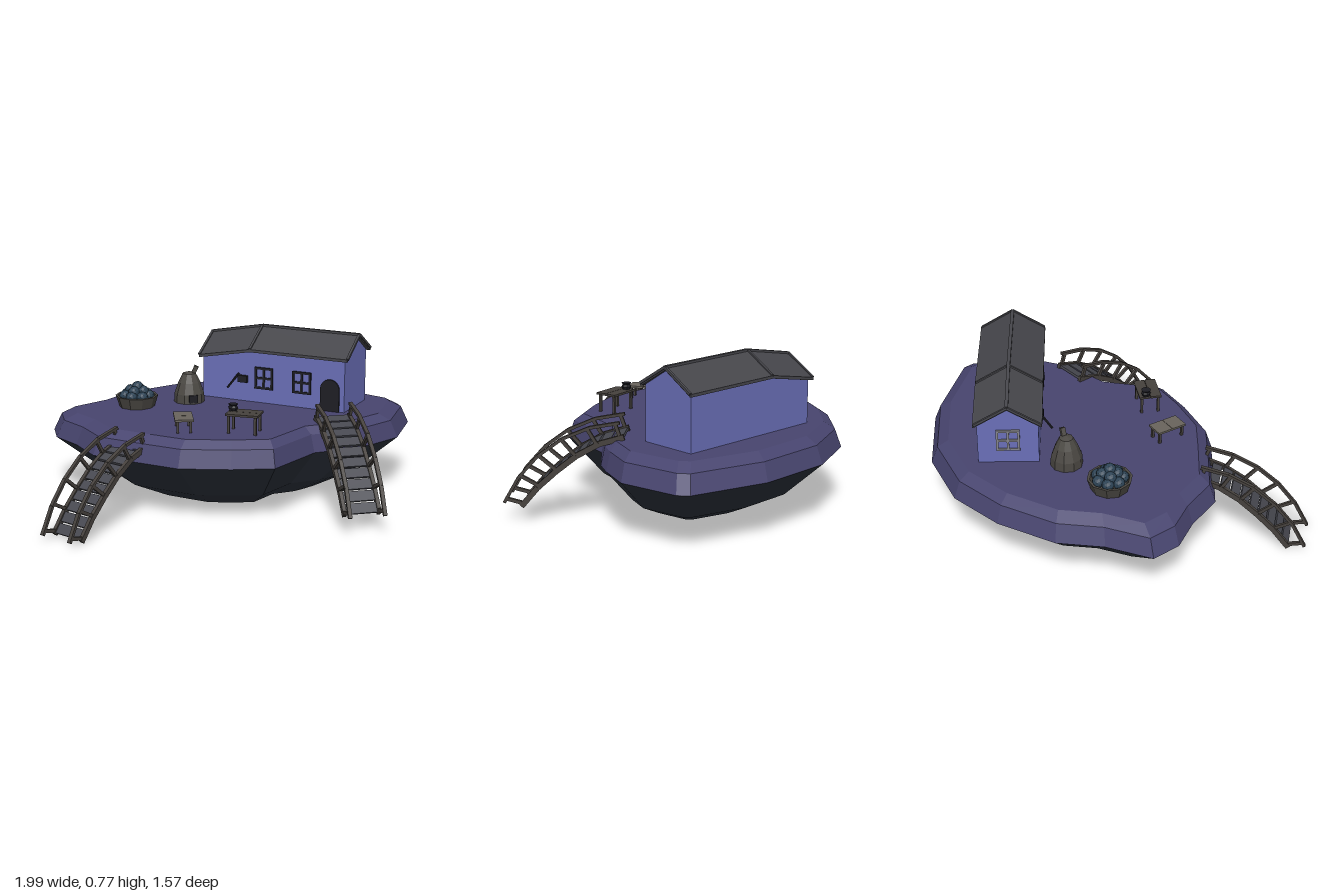
import * as THREE from 'three';

const mat = (color) => new THREE.MeshStandardMaterial({ color, flatShading: true });
const M = {
  soil: mat(0x48456f), rock: mat(0x2c323c), wall: mat(0x6a6fb8), roof: mat(0x46464b),
  wood: mat(0x46413d), tread: mat(0x474850), plank: mat(0x69645c), dark: mat(0x1e1e24),
  frame: mat(0x85858c), clay: mat(0x4b4843), ball: mat(0x2d4355),
};
const V = (x, y, z) => new THREE.Vector3(x, y, z);

function mesh(name, geo, material, parent, x = 0, y = 0, z = 0) {
  const m = new THREE.Mesh(geo, material);
  m.name = name;
  m.position.set(x, y, z);
  parent.add(m);
  return m;
}

function group(name, parent, x = 0, y = 0, z = 0, turn = 0) {
  const g = new THREE.Group();
  g.name = name;
  g.position.set(x, y, z);
  g.rotation.y = turn;
  parent.add(g);
  return g;
}

const box = (name, w, h, d, material, parent, x, y, z) =>
  mesh(name, new THREE.BoxGeometry(w, h, d), material, parent, x, y, z);

// Straight bar between two points
function beam(name, a, b, w, h, material, parent) {
  const m = new THREE.Mesh(new THREE.BoxGeometry(w, h, a.distanceTo(b)), material);
  m.name = name;
  m.position.lerpVectors(a, b, 0.5);
  m.lookAt(b);
  parent.add(m);
  return m;
}

// Skin over rings of points, clockwise as seen from the last ring, optionally capped
function loft(rings, capStart = true, capEnd = true) {
  const p = [];
  const tri = (...vs) => vs.forEach((v) => p.push(v.x, v.y, v.z));
  const n = rings[0].length;
  const mid = (r) => r.reduce((s, v) => s.add(v), V(0, 0, 0)).divideScalar(n);
  const first = rings[0], last = rings[rings.length - 1];
  for (let i = 0; i < n; i++) {
    const j = (i + 1) % n;
    for (let k = 0; k + 1 < rings.length; k++) {
      const L = rings[k], U = rings[k + 1];
      tri(L[i], U[i], L[j]);
      tri(L[j], U[i], U[j]);
    }
    if (capStart) tri(mid(first), first[i], first[j]);
    if (capEnd) tri(mid(last), last[j], last[i]);
  }
  const g = new THREE.BufferGeometry();
  g.setAttribute('position', new THREE.Float32BufferAttribute(p, 3));
  g.computeVertexNormals();
  return g;
}

function addIsland(root) {
  const outline = [[-0.75, -0.465], [-0.54, -0.555], [-0.36, -0.69], [-0.07, -0.775], [0.215, -0.785],
    [0.515, -0.67], [0.795, -0.41], [0.99, -0.075], [0.985, -0.015], [0.81, 0.225], [0.64, 0.3],
    [0.54, 0.33], [0.325, 0.34], [0.06, 0.515], [-0.135, 0.465], [-0.36, 0.375], [-0.505, 0.225],
    [-0.675, 0.04], [-0.71, -0.16], [-0.77, -0.32]];
  const ring = (y, s) => outline.map(([x, z]) => V(0.08 + (x - 0.08) * s, y, -0.09 + (z + 0.09) * s));
  const island = group('island', root);
  mesh('islandTop', loft([ring(0.29, 1), ring(0.375, 0.955), ring(0.41, 0.88)], false, true), M.soil, island);
  mesh('islandUnderside', loft([ring(0.03, 0.49), ring(0.11, 0.72), ring(0.29, 1)], true, false), M.rock, island);
}

// Four-pane window facing local +z
function addWindow(parent, x, y, z, turn, w, h, barMat, paneMat) {
  const g = group('window', parent, x, y, z, turn);
  box('pane', w, h, 0.006, paneMat, g, 0, 0, 0);
  for (const s of [-1, 0, 1]) {
    box('windowUpright', 0.011, h + 0.011, 0.014, barMat, g, s * w / 2, 0, 0.002);
    box('windowCrossbar', w + 0.011, 0.011, 0.014, barMat, g, 0, s * h / 2, 0.002);
  }
}

function addHouse(root) {
  const house = group('house', root, 0.395, 0.405, -0.2475, Math.PI / 4);
  // Walls: the ridge and eaves drop towards the rear gable
  const w = 0.143;
  const section = (z, eave, ridge) =>
    [V(-w, 0, z), V(-w, eave, z), V(0, ridge, z), V(w, eave, z), V(w, 0, z)];
  mesh('walls', loft([section(-0.385, 0.215, 0.305), section(-0.12, 0.267, 0.357),
    section(0.385, 0.267, 0.357)]), M.wall, house);

  // Roof slabs with boards along every edge and across the bend
  const stations = [[-0.402, 0.222, 0.316], [-0.12, 0.275, 0.37], [0.402, 0.275, 0.37]];
  const e = 0.156, t = 0.014;
  for (const s of [-1, 1]) {
    const rings = stations.map(([z, eave, ridge]) => {
      const r = [V(0, ridge, z), V(s * e, eave, z), V(s * e, eave - t, z), V(0, ridge - t, z)];
      return s > 0 ? r : r.reverse();
    });
    mesh('roofSlab', loft(rings), M.roof, house);
    stations.forEach(([z, eave, ridge]) =>
      beam('roofBoard', V(0, ridge, z), V(s * e, eave, z), 0.012, 0.012, M.roof, house));
    for (let k = 0; k < 2; k++) {
      const [z0, e0] = stations[k], [z1, e1] = stations[k + 1];
      beam('eaveBoard', V(s * e, e0 - 0.006, z0), V(s * e, e1 - 0.006, z1), 0.01, 0.014, M.roof, house);
    }
  }
  for (let k = 0; k < 2; k++) {
    const [z0, , r0] = stations[k], [z1, , r1] = stations[k + 1];
    beam('ridgeBoard', V(0, r0, z0), V(0, r1, z1), 0.016, 0.012, M.roof, house);
  }

  // Windows
  for (const z of [-0.046, 0.16]) addWindow(house, -w, 0.132, z, -Math.PI / 2, 0.088, 0.1, M.dark, M.wall);
  addWindow(house, 0, 0.13, -0.386, Math.PI, 0.1, 0.1, M.frame, M.wall);

  // Arched door
  const arch = new THREE.Shape();
  arch.moveTo(-0.05, 0);
  arch.lineTo(0.05, 0);
  arch.lineTo(0.05, 0.115);
  arch.absarc(0, 0.115, 0.05, 0, Math.PI, false);
  const door = new THREE.ExtrudeGeometry(arch, { depth: 0.008, bevelEnabled: false, curveSegments: 6 });
  mesh('door', door, M.dark, house, -w, 0, 0.31).rotation.y = -Math.PI / 2;

  // Wall lantern on a slanted bracket
  box('lantern', 0.02, 0.035, 0.05, M.dark, house, -w - 0.008, 0.12, -0.16);
  beam('lanternBracket', V(-w, 0.145, -0.185), V(-w - 0.06, 0.08, -0.22), 0.008, 0.008, M.dark, house);
}

// Curved stair descending along local +z
function addStair(root, x, y, z, turn, stretch) {
  const stair = group('stair', root, x, y, z, turn);
  stair.scale.z = stretch;
  const curve = (pts) => new THREE.CatmullRomCurve3(pts.map(([d, h]) => V(0, h, d)));
  const low = curve([[-0.03, 0.425], [0.12, 0.375], [0.24, 0.29], [0.36, 0.185], [0.445, 0.085]]);
  const high = curve([[-0.01, 0.49], [0.17, 0.45], [0.33, 0.355], [0.45, 0.23], [0.525, 0.1]]);
  const at = (c, u, side) => c.getPointAt(u).setX(side * 0.083);
  const n = 5;
  for (const s of [-1, 1]) {
    for (let i = 0; i < n; i++) {
      beam('stringer', at(low, i / n, s), at(low, (i + 1) / n, s), 0.018, 0.026, M.wood, stair);
      beam('handrail', at(high, i / n, s), at(high, (i + 1) / n, s), 0.018, 0.014, M.wood, stair);
    }
    for (let i = 0; i <= n; i++) {
      const u = 0.03 + 0.94 * i / n;
      beam('railPost', at(low, u, s), at(high, u, s), 0.014, 0.016, M.wood, stair);
    }
  }
  const treads = 10;
  for (let i = 0; i < treads; i++) {
    const a = low.getPointAt((i + 0.06) / treads), b = low.getPointAt((i + 0.9) / treads);
    beam('tread', a, b, 0.16, 0.012, M.tread, stair);
  }
}

function addTable(root, name, x, z, turn, w, d, h, material) {
  const table = group(name, root, x, 0.41, z, turn);
  for (const s of [-1, 1]) {
    box('tabletopBoard', w, 0.01, d / 2 - 0.002, material, table, 0, h - 0.005, s * d / 4);
    for (const r of [-1, 1]) {
      box('tableLeg', 0.012, h, 0.012, M.wood, table, r * (w / 2 - 0.014), h / 2 - 0.004, s * (d / 2 - 0.014));
    }
  }
  return table;
}

const lathe = (pts, sides) =>
  new THREE.LatheGeometry(pts.map(([r, y]) => new THREE.Vector2(r, y)), sides);

function addYard(root) {
  addTable(root, 'bench', -0.265, 0.155, -0.24, 0.088, 0.155, 0.066, M.plank);
  const table = addTable(root, 'table', -0.01, 0.29, -0.616, 0.157, 0.11, 0.095, M.wood);
  // Pot on the table
  mesh('pot', lathe([[0, 0], [0.018, 0], [0.024, 0.015], [0.018, 0.024], [0.024, 0.032], [0, 0.032]], 8),
    M.dark, table, -0.06, 0.095, -0.02);

  // Clay oven with a leaning flue
  const oven = group('oven', root, -0.08, 0.41, -0.34);
  mesh('ovenBody', lathe([[0.077, 0], [0.074, 0.045], [0.055, 0.1], [0.033, 0.145], [0, 0.155]], 10), M.clay, oven);
  beam('ovenFlue', V(0.01, 0.12, 0), V(0.036, 0.18, 0.01), 0.022, 0.022, M.clay, oven);
  box('ovenMouth', 0.045, 0.04, 0.012, M.dark, oven, 0, 0.025, 0.07);

  // Basket heaped with round fruit
  const basket = group('fruitBasket', root, -0.355, 0.41, -0.335);
  mesh('basket', lathe([[0, 0], [0.088, 0], [0.106, 0.056], [0.094, 0.056], [0.082, 0.03], [0, 0.03]], 10),
    M.clay, basket);
  const ballGeo = new THREE.IcosahedronGeometry(0.029, 1);
  for (const [count, r, y] of [[7, 0.06, 0.055], [4, 0.034, 0.078], [1, 0.005, 0.098]]) {
    for (let i = 0; i < count; i++) {
      const a = (i / count) * Math.PI * 2 + y * 9;
      mesh('fruit', ballGeo, M.ball, basket, Math.cos(a) * r, y, Math.sin(a) * r);
    }
  }
}

export function createModel() {
  const root = new THREE.Group();
  root.name = 'floatingIsland';
  addIsland(root);
  addHouse(root);
  addStair(root, 0.463, 0, 0.245, -0.096, 1);
  addStair(root, -0.525, -0.07, 0.135, -0.99, 0.95);
  addYard(root);
  return root;
}
